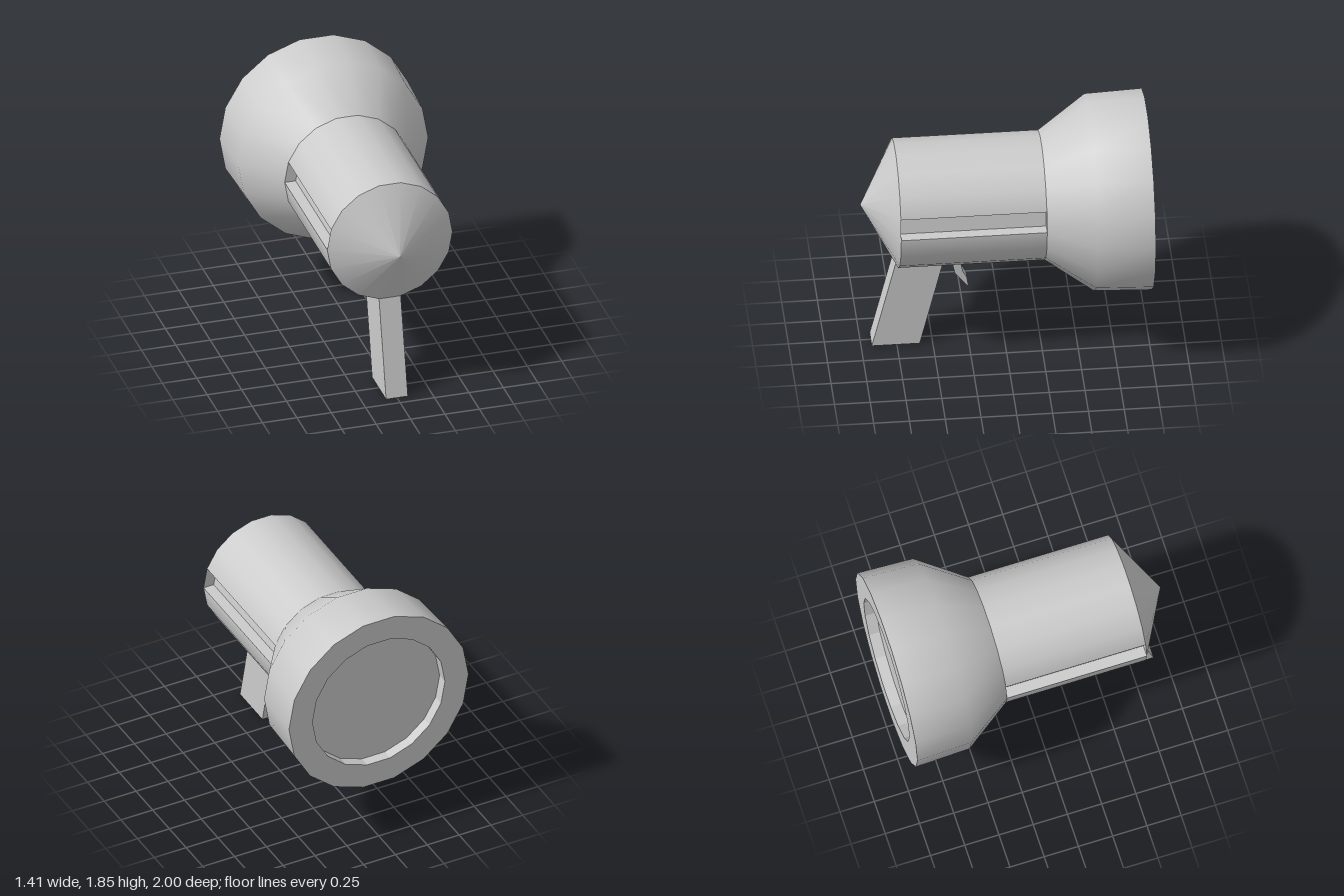
import * as THREE from 'three';

const AXIS_Y = 1.155, SIDES = 18, STEP = (Math.PI * 2) / SIDES;
const R = 0.455, FRONT = 0.755, NECK = -0.265;

export function createModel() {
  const model = new THREE.Group();
  const grey = new THREE.MeshStandardMaterial({ color: 0xcccccc });
  const faceted = new THREE.MeshStandardMaterial({ color: 0xcccccc, flatShading: true });
  const open = new THREE.MeshStandardMaterial({ color: 0xcccccc, flatShading: true, side: THREE.DoubleSide });

  const add = (name, geometry, material) => {
    const mesh = new THREE.Mesh(geometry, material);
    mesh.name = name;
    model.add(mesh);
  };

  // Turned part about the z axis; profile is [radius, z] with z rising, sides counted from +x
  const turned = (name, profile, first = 0, count = SIDES, material = grey) => {
    const points = profile.map(([r, z]) => new THREE.Vector2(r, z));
    const geometry = new THREE.LatheGeometry(points, count, Math.PI / 2 + first * STEP, count * STEP);
    add(name, geometry.rotateX(Math.PI / 2).translate(0, AXIS_Y, 0), material);
  };

  // Flared head with a recessed rear disc
  turned('head', [[0.705, -1], [0.69, -0.6], [R, NECK]]);
  turned('headRim', [[0.52, -1], [0.705, -1]]);
  turned('lensWall', [[0.52, -0.92], [0.52, -1]], 0, SIDES, faceted);
  turned('lens', [[0, -0.92], [0.52, -0.92]]);

  // Barrel, leaving out one side panel left and right for the slots
  turned('barrelTop', [[R, NECK], [R, FRONT]], 1, 7);
  turned('barrelBottom', [[R, NECK], [R, FRONT]], 9, 9);
  turned('noseCone', [[R, FRONT], [0, 1]]);

  // Side slots: shelf, inner wall, ceiling and two end walls
  const x1 = R * Math.cos(STEP), y1 = AXIS_Y + R * Math.sin(STEP), depth = 0.08;
  const section = [[R, AXIS_Y], [R - depth, AXIS_Y], [x1 - depth, y1], [x1, y1]];
  for (const side of [1, -1]) {
    const position = [NECK, FRONT].flatMap(z => section.flatMap(([x, y]) => [side * x, y, z]));
    const index = [0, 1, 2, 0, 2, 3, 4, 6, 5, 4, 7, 6];
    for (let i = 0; i < 3; i++) index.push(i, i + 4, i + 5, i, i + 5, i + 1);
    if (side < 0) index.reverse();
    const geometry = new THREE.BufferGeometry();
    geometry.setAttribute('position', new THREE.Float32BufferAttribute(position, 3));
    geometry.setIndex(index);
    geometry.computeVertexNormals();
    add(side > 0 ? 'leftSlot' : 'rightSlot', geometry, open);
  }

  // Side profile in [z, y], extruded across x
  const slab = (name, profile, width) => {
    const shape = new THREE.Shape(profile.map(([z, y]) => new THREE.Vector2(-z, y)));
    const geometry = new THREE.ExtrudeGeometry(shape, { depth: width, bevelEnabled: false });
    add(name, geometry.translate(0, 0, -width / 2).rotateY(Math.PI / 2), faceted);
  };

  // Raked handle, as wide as the lowest barrel panel
  slab('handle', [[0.925, 0], [0.59, 0], [0.42, 0.708], [0.755, 0.708]], 2 * R * Math.sin(STEP / 2));

  // Curved trigger
  slab('trigger', [
    [0.33, 0.71], [0.36, 0.64], [0.34, 0.55], [0.295, 0.49], [0.245, 0.43],
    [0.257, 0.51], [0.285, 0.56], [0.298, 0.63], [0.28, 0.68], [0.24, 0.71],
  ], 0.07);

  return model;
}
